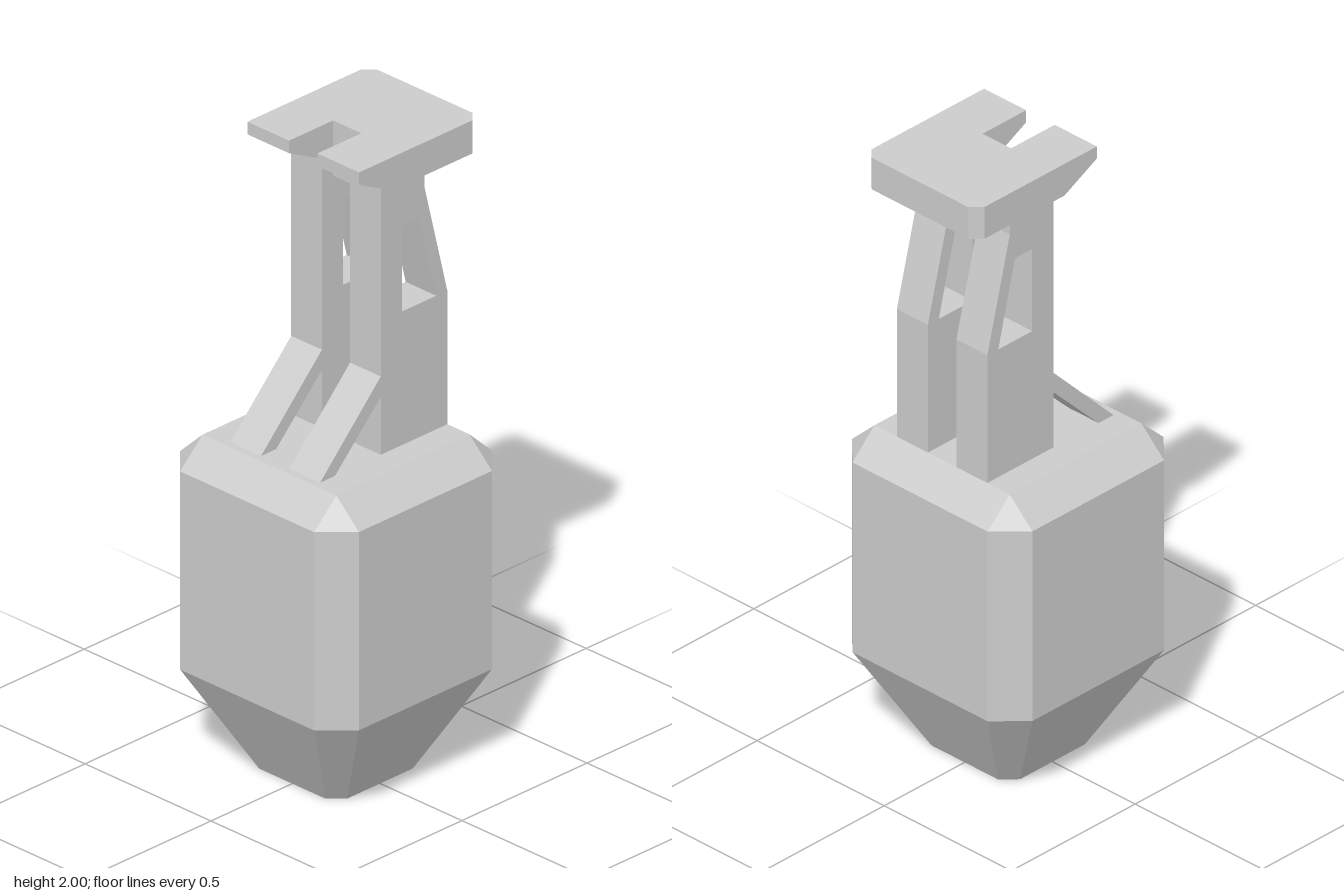
import * as THREE from 'three';
import { ConvexGeometry } from 'three/addons/geometries/ConvexGeometry.js';

const material = new THREE.MeshStandardMaterial({ color: 0xcccccc, flatShading: true });
const points = (list) => list.map(([x, y]) => new THREE.Vector2(x, y));

function addMesh(parent, name, geometry) {
  const mesh = new THREE.Mesh(geometry, material);
  mesh.name = name;
  parent.add(mesh);
  return mesh;
}

// Side profile given as (z, y), extruded from x0 to x1
function sideExtrude(outline, x0, x1, hole) {
  const shape = new THREE.Shape(points(outline));
  if (hole) shape.holes.push(new THREE.Path(points(hole)));
  const geometry = new THREE.ExtrudeGeometry(shape, { depth: x1 - x0, bevelEnabled: false });
  return geometry.rotateY(-Math.PI / 2).translate(x1, 0, 0);
}

// Square ring with cut corners: a = half width, b = half length of the flat sides
function ring(y, a, b) {
  const list = [];
  for (const sx of [-1, 1]) for (const sz of [-1, 1]) {
    list.push(new THREE.Vector3(sx * a, y, sz * b));
    if (a !== b) list.push(new THREE.Vector3(sx * b, y, sz * a));
  }
  return list;
}

export function createModel() {
  const model = new THREE.Group();
  model.name = 'model';

  // Chamfered body tapering to a small foot
  addMesh(model, 'body', new ConvexGeometry([
    ...ring(0, 0.175, 0.131),
    ...ring(0.33, 0.355, 0.266),
    ...ring(0.958, 0.355, 0.266),
    ...ring(1.042, 0.266, 0.266),
  ]));

  // Upright with its diagonal front brace, and a window near the top
  const uprightOutline = [
    [0, 1.042], [0, 1.225], [0.183, 1.042], [0.243, 1.042], [0, 1.29],
    [0, 1.895], [-0.175, 1.895], [-0.175, 1.825], [-0.266, 1.465], [-0.266, 1.042],
  ];
  const windowOutline = [[-0.085, 1.465], [-0.222, 1.465], [-0.154, 1.737], [-0.085, 1.737]];

  // Underside of each front arm of the plate slopes up to a thin edge
  const armOutline = [[-0.045, 1.895], [0, 1.895], [0.131, 1.96], [0.131, 2], [-0.045, 2]];

  for (const [side, s] of [['left', 1], ['right', -1]]) {
    const span = (outer) => (s > 0 ? [0.056, outer] : [-outer, -0.056]);
    addMesh(model, side + 'Upright', sideExtrude(uprightOutline, ...span(0.178), windowOutline));
    addMesh(model, side + 'PlateArm', sideExtrude(armOutline, ...span(0.222)));
  }

  // Bar joining the uprights under the plate
  addMesh(model, 'crossBar', new THREE.BoxGeometry(0.112, 0.07, 0.13)).position.set(0, 1.86, -0.11);

  // Rear of the top plate with cut back corners, plan given as (x, -z)
  const plan = new THREE.Shape(points([
    [-0.222, 0.045], [0.222, 0.045], [0.222, 0.323], [0.19, 0.355], [-0.19, 0.355], [-0.222, 0.323],
  ]));
  const plate = new THREE.ExtrudeGeometry(plan, { depth: 0.105, bevelEnabled: false });
  addMesh(model, 'topPlate', plate.rotateX(-Math.PI / 2).translate(0, 1.895, 0));

  return model;
}
